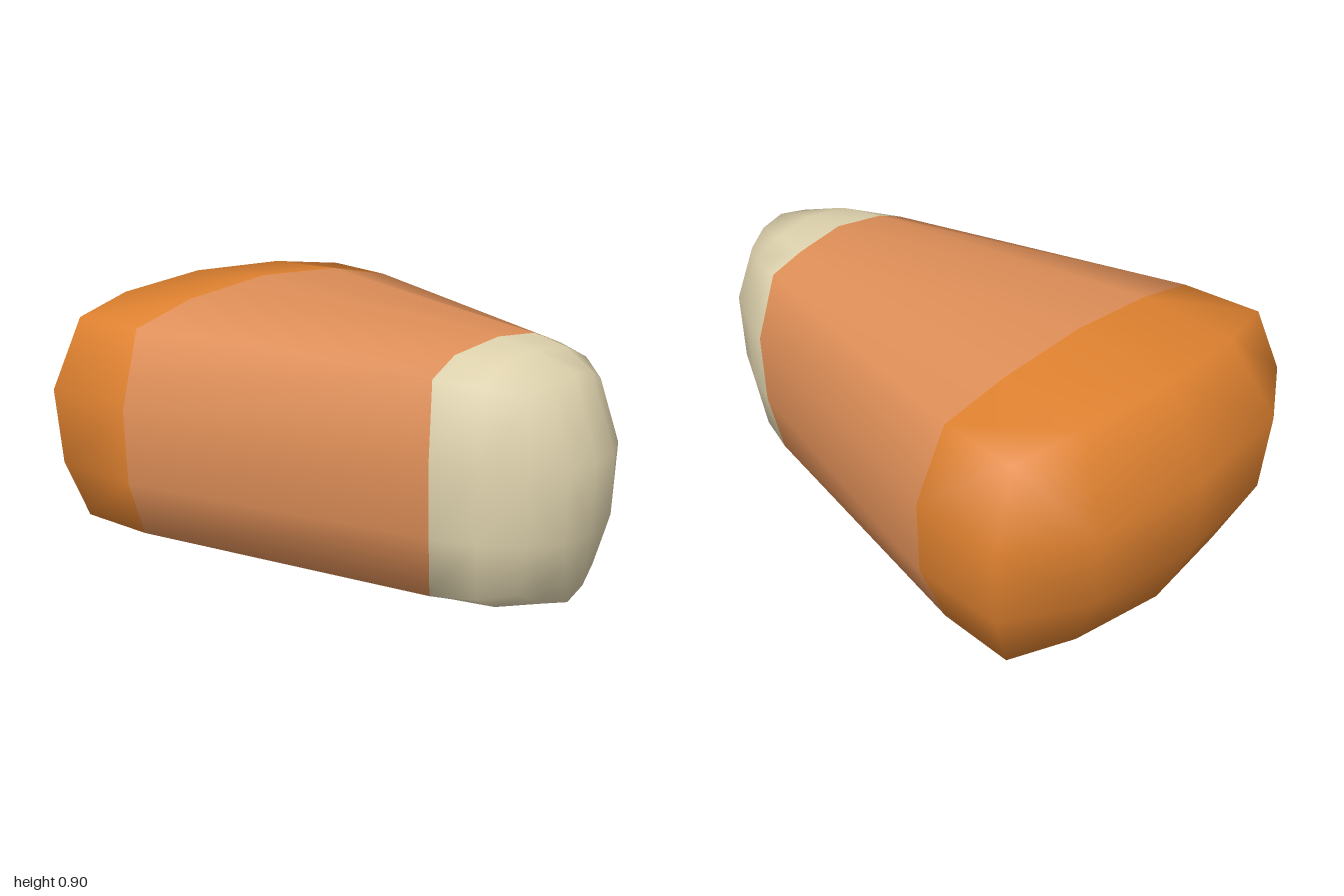
import * as THREE from 'three';

const TIP = new THREE.MeshStandardMaterial({ name: 'cream', color: 0xdfd3ae });
const MIDDLE = new THREE.MeshStandardMaterial({ name: 'softOrange', color: 0xdf8f58 });
const BASE = new THREE.MeshStandardMaterial({ name: 'brightOrange', color: 0xe08230 });

// Half cross-sections from top centre down the +x side to bottom centre, back to front
const SECTIONS = [
  [[0, .86, -.855], [.36, .845, -.82], [.61, .81, -.75], [.71, .565, -.785],
    [.69, .3, -.775], [.61, .09, -.75], [.36, .06, -.82], [0, .04, -.86]],
  [[0, .9, -.49], [.34, .873, -.485], [.585, .815, -.47], [.677, .56, -.44],
    [.668, .3, -.44], [.585, .09, -.47], [.34, .032, -.485], [0, .003, -.49]],
  [[0, .88, .6], [.19, .855, .59], [.305, .805, .605], [.355, .56, .64],
    [.345, .31, .635], [.305, .1, .605], [.19, .05, .59], [0, .025, .6]],
  [[0, .866, .75], [.155, .847, .745], [.255, .795, .75], [.293, .56, .78],
    [.285, .31, .775], [.255, .115, .75], [.155, .06, .745], [0, .04, .75]],
  [[0, .825, .905], [.1, .81, .89], [.175, .765, .87], [.213, .56, .92],
    [.205, .32, .91], [.175, .145, .87], [.1, .1, .89], [0, .08, .91]],
];

// Inner cap points: two rows of [centre, side]
const BACK_CAP = [[[0, .57, -1], [.44, .565, -.955]], [[0, .3, -.985], [.42, .3, -.935]]];
const FRONT_CAP = [[[0, .56, 1], [.11, .56, .983]], [[0, .32, .985], [.105, .32, .968]]];

const RING = 14;
const mirror = ([x, y, z]) => [-x, y, z];

export function createModel() {
  const points = [];
  const add = (p) => points.push(p) - 1;

  for (const half of SECTIONS) {
    half.forEach(add);
    for (let i = 6; i >= 1; i--) add(mirror(half[i]));
  }

  const quad = (out, a, b, c, d) => out.push(a, b, c, a, c, d);

  // Skin between one section and the next
  function band(out, section) {
    const a = section * RING, b = a + RING;
    for (let i = 0; i < RING; i++) {
      const j = (i + 1) % RING;
      quad(out, a + i, b + i, b + j, a + j);
    }
  }

  // Domed end: a grid joining the section's rim to the inner cap points
  function cap(out, section, inner, front) {
    const s = section * RING;
    const row = ([centre, side], left, right) =>
      [s + left, add(mirror(side)), add(centre), add(side), s + right];
    const grid = [
      [12, 13, 0, 1, 2].map((i) => s + i),
      row(inner[0], 11, 3),
      row(inner[1], 10, 4),
      [9, 8, 7, 6, 5].map((i) => s + i),
    ];
    for (let r = 0; r < 3; r++) {
      for (let c = 0; c < 4; c++) {
        const q = [grid[r][c], grid[r + 1][c], grid[r + 1][c + 1], grid[r][c + 1]];
        quad(out, ...(front ? q : q.reverse()));
      }
    }
  }

  const base = [], middle = [], tip = [];
  cap(base, 0, BACK_CAP, false);
  band(base, 0);
  band(middle, 1);
  band(tip, 2);
  band(tip, 3);
  cap(tip, 4, FRONT_CAP, true);

  // Normals are worked out on the whole body so shading flows across the colours
  const body = new THREE.BufferGeometry();
  body.setAttribute('position', new THREE.Float32BufferAttribute(points.flat(), 3));
  body.setIndex([...base, ...middle, ...tip]);
  body.computeVertexNormals();

  const group = new THREE.Group();
  group.name = 'candyCorn';
  for (const [name, index, material] of [
    ['base', base, BASE], ['middleBand', middle, MIDDLE], ['tip', tip, TIP],
  ]) {
    const geometry = body.clone();
    geometry.setIndex(index);
    const mesh = new THREE.Mesh(geometry, material);
    mesh.name = name;
    group.add(mesh);
  }
  return group;
}
